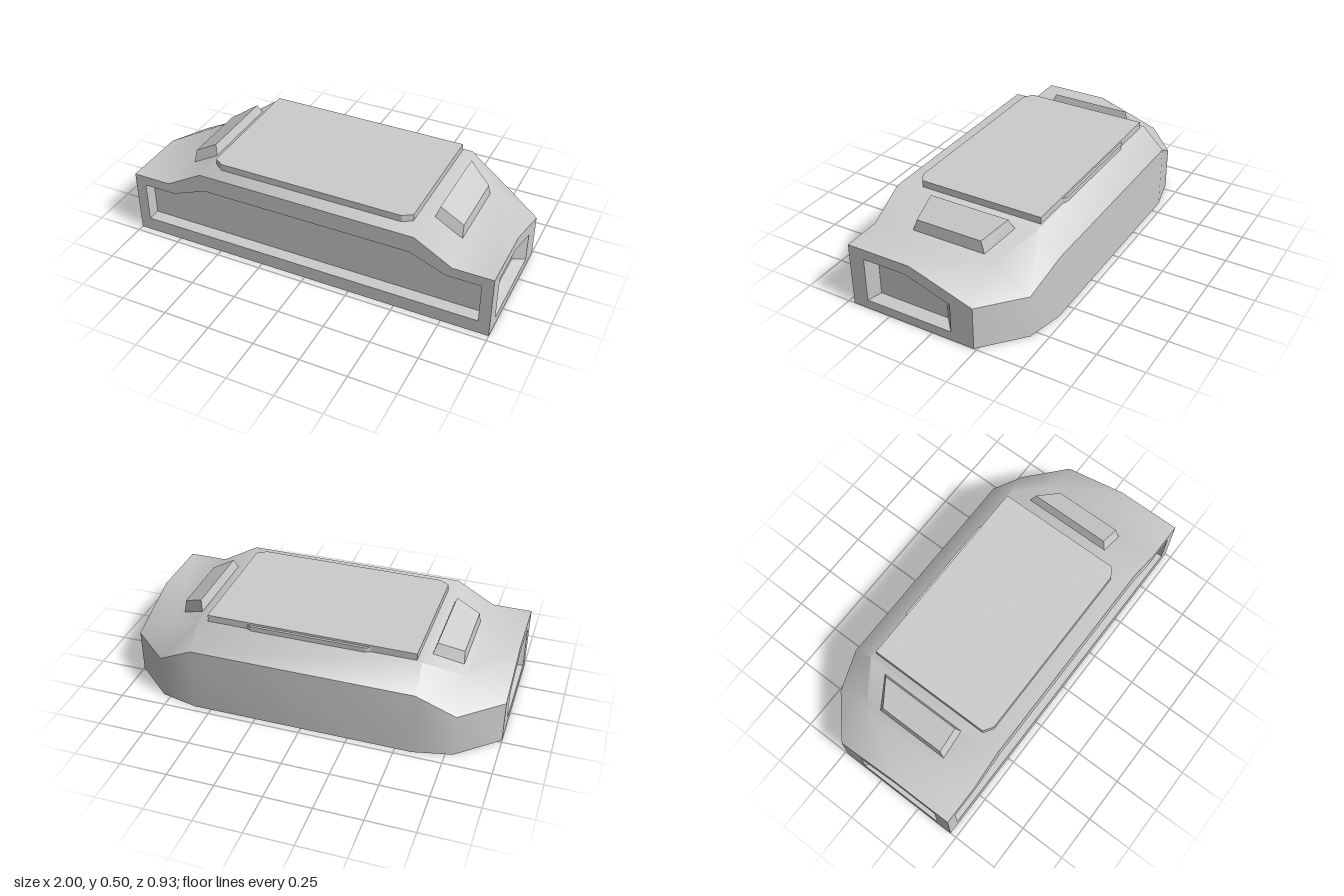
import * as THREE from 'three';
import { toCreasedNormals } from 'three/addons/utils/BufferGeometryUtils.js';

const material = new THREE.MeshStandardMaterial({ color: 0xcccccc });

// Polygons mirrored across x, with the corner order reversed
const mirror = polys => polys.map(p => p.map(([x, y, z]) => [-x, y, z]).reverse());
const both = polys => [...polys, ...mirror(polys)];

// Mesh from convex polygons, smooth below the crease angle
function polyMesh(name, polys, crease = 0.1) {
  const pos = [];
  for (const p of polys)
    for (let i = 1; i < p.length - 1; i++) pos.push(...p[0], ...p[i], ...p[i + 1]);
  const geo = new THREE.BufferGeometry();
  geo.setAttribute('position', new THREE.Float32BufferAttribute(pos, 3));
  geo.computeVertexNormals();
  const mesh = new THREE.Mesh(toCreasedNormals(geo, crease), material);
  mesh.name = name;
  return mesh;
}

// Flat wall with a recess: outline and hole are [u, v], floor is [u, v, depth]
function recessedWall(outline, hole, floor, map) {
  const vec = pts => pts.map(([u, v]) => new THREE.Vector2(u, v));
  const fill = (pts, holes, all) =>
    THREE.ShapeUtils.triangulateShape(vec(pts), holes.map(vec)).map(t => t.map(i => map(...all[i])));
  const rim = hole.map(([u, v]) => [u, v, 0]);
  const flat = [...outline.map(([u, v]) => [u, v, 0]), ...rim];
  const polys = [...fill(outline, [hole], flat), ...fill(floor, [], floor)];
  rim.forEach((a, i) => {
    const j = (i + 1) % rim.length;
    polys.push([a, rim[j], floor[j], floor[i]].map(p => map(...p)));
  });
  return polys;
}

// Flat plate from an [x, z] plan
function plate(name, plan, y0, y1) {
  const shape = new THREE.Shape(plan.map(([x, z]) => new THREE.Vector2(x, -z)));
  const geo = new THREE.ExtrudeGeometry(shape, { depth: y1 - y0, bevelEnabled: false });
  geo.rotateX(-Math.PI / 2).translate(0, y0, 0);
  const mesh = new THREE.Mesh(geo, material);
  mesh.name = name;
  return mesh;
}

export function createModel() {
  const model = new THREE.Group();
  model.name = 'lowHull';

  // Roof: flat crown, sloped flanks, shoulders and dropped rear corners
  const crown = [[0.59, 0.465, 0.465], [0.59, 0.465, -0.345], [-0.59, 0.465, -0.345], [-0.59, 0.465, 0.465]];
  const rearSlope = [[0.59, 0.35, -0.465], [-0.59, 0.35, -0.465], [-0.59, 0.465, -0.345], [0.59, 0.465, -0.345]];
  const flank = [
    [[0.79, 0.35, 0.465], [0.79, 0.35, -0.225], [0.59, 0.465, -0.345], [0.59, 0.465, 0.465]],
    [[1, 0.35, 0.465], [1, 0.35, 0.11], [0.79, 0.35, -0.225], [0.79, 0.35, 0.465]],
    [[1, 0.35, 0.11], [1, 0.235, -0.235], [0.79, 0.35, -0.225]],
    [[1, 0.235, -0.235], [0.79, 0.235, -0.42], [0.79, 0.35, -0.225]],
    [[0.79, 0.235, -0.42], [0.59, 0.35, -0.465], [0.59, 0.465, -0.345], [0.79, 0.35, -0.225]],
  ];
  model.add(polyMesh('roof', [crown, rearSlope, ...both(flank)], 0.85));

  // Rear wall wrapping round the corners
  const corner = [
    [[1, 0.235, -0.235], [1, 0, -0.235], [0.79, 0, -0.42], [0.79, 0.235, -0.42]],
    [[0.79, 0.235, -0.42], [0.79, 0, -0.42], [0.59, 0, -0.465], [0.59, 0.35, -0.465]],
  ];
  const rear = [[0.59, 0.35, -0.465], [0.59, 0, -0.465], [-0.59, 0, -0.465], [-0.59, 0.35, -0.465]];
  model.add(polyMesh('rearWall', [rear, ...both(corner)], 0.7));

  // Underside
  const base = [[1, 0.465], [-1, 0.465], [-1, -0.235], [-0.79, -0.42], [-0.59, -0.465],
    [0.59, -0.465], [0.79, -0.42], [1, -0.235]];
  model.add(polyMesh('underside', [base.map(([x, z]) => [x, 0, z])]));

  // Front wall with a wide straight recess
  const frontOutline = [[-1, 0], [1, 0], [1, 0.35], [0.79, 0.35], [0.59, 0.465],
    [-0.59, 0.465], [-0.79, 0.35], [-1, 0.35]];
  const frontHole = [[-0.94, 0.075], [0.94, 0.075], [0.94, 0.295], [0.76, 0.295], [0.57, 0.37],
    [-0.57, 0.37], [-0.76, 0.295], [-0.94, 0.295]];
  model.add(polyMesh('frontWall', recessedWall(frontOutline, frontHole,
    frontHole.map(([u, v]) => [u, v, 0.07]), (u, v, d) => [u, v, 0.465 - d])));

  // Side walls with a bevelled recess that tapers toward the rear
  const sideOutline = [[-0.465, 0], [0.235, 0], [0.235, 0.235], [-0.11, 0.35], [-0.465, 0.35]];
  const sideHole = [[-0.378, 0.05], [0.11, 0.05], [0.11, 0.21], [-0.135, 0.293], [-0.378, 0.293]];
  const sideFloor = [[-0.338, 0.07, 0.06], [0.055, 0.07, 0.06], [0.055, 0.202, 0.06],
    [-0.13, 0.268, 0.06], [-0.338, 0.268, 0.06]];
  const side = recessedWall(sideOutline, sideHole, sideFloor, (u, v, d) => [1 - d, v, -u]);
  model.add(polyMesh('leftWall', side), polyMesh('rightWall', mirror(side)));

  // Raised top plate and the thin lip behind it
  model.add(plate('topPlate', [[-0.56, -0.333], [-0.56, 0.345], [-0.51, 0.378], [0.49, 0.378],
    [0.54, 0.345], [0.54, -0.333]], 0.46, 0.502));
  model.add(plate('rearLip', [[-0.334, -0.33], [0.334, -0.33], [0.3, -0.346], [-0.3, -0.346]], 0.46, 0.49));

  // Tilted pods on the flanks: outer front, outer back, inner back, inner front
  const top = [[0.757, 0.43, 0.23], [0.757, 0.43, -0.135], [0.632, 0.502, -0.21], [0.632, 0.502, 0.23]];
  const foot = [[0.762, 0.366, 0.253], [0.762, 0.366, -0.155], [0.615, 0.45, -0.235], [0.615, 0.45, 0.253]];
  const pod = [top, [...foot].reverse()];
  for (let i = 0; i < 4; i++) {
    const j = (i + 1) % 4;
    pod.push([foot[i], foot[j], top[j], top[i]]);
  }
  model.add(polyMesh('leftPod', pod), polyMesh('rightPod', mirror(pod)));

  return model;
}
